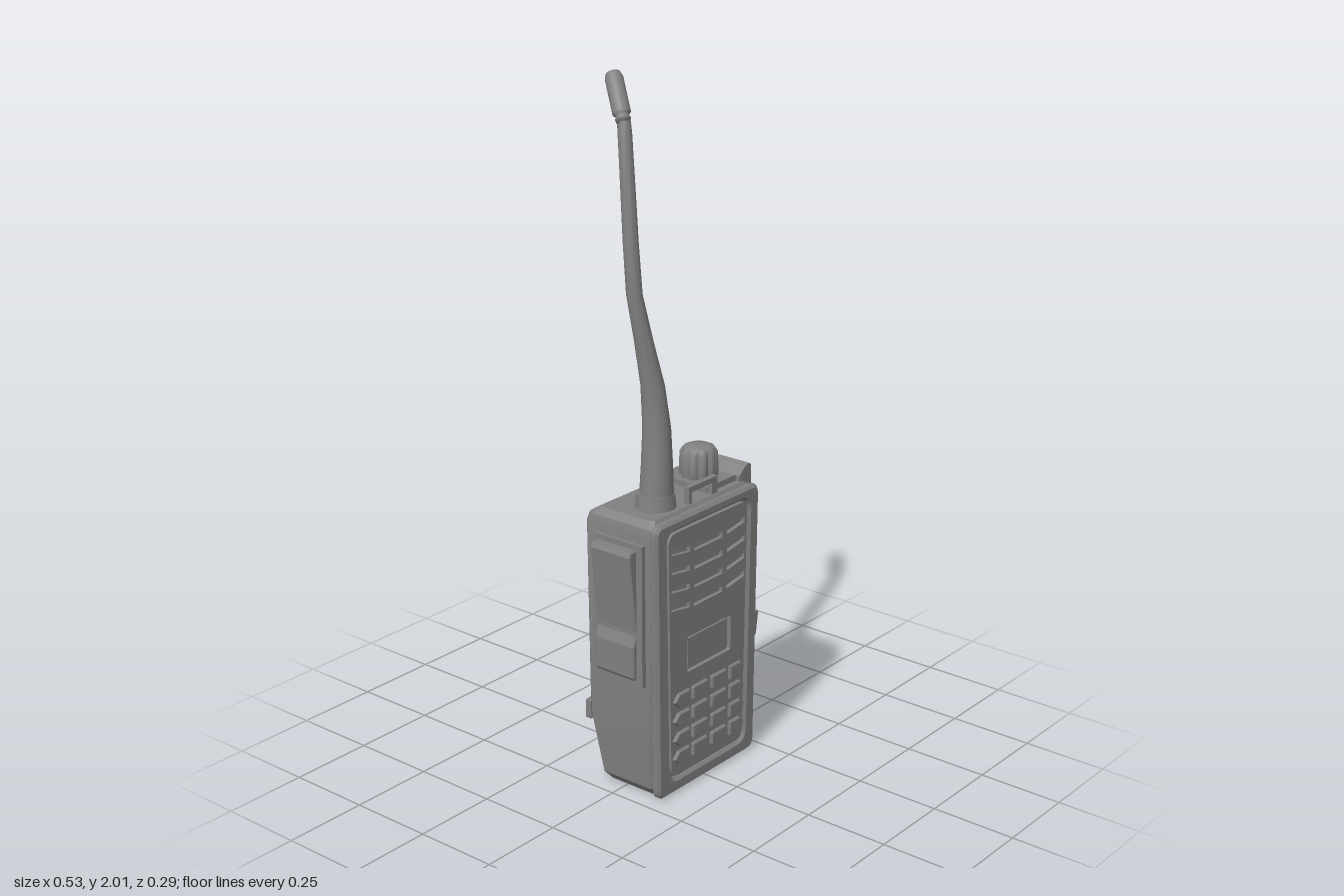
import * as THREE from 'three';
import { toCreasedNormals } from 'three/addons/utils/BufferGeometryUtils.js';

// Closed skin through rings of points ordered from +x towards +z, bottom to top
function loft(rings, crease = 0.6) {
  const n = rings[0].length, pos = [], idx = [];
  rings.forEach(r => r.forEach(p => pos.push(p.x, p.y, p.z)));
  for (let i = 0; i < rings.length - 1; i++) for (let j = 0; j < n; j++) {
    const a = i * n + j, b = i * n + (j + 1) % n;
    idx.push(a, a + n, b, b, a + n, b + n);
  }
  [0, rings.length - 1].forEach(i => {
    const c = new THREE.Vector3();
    rings[i].forEach(p => c.addScaledVector(p, 1 / n));
    const k = pos.length / 3;
    pos.push(c.x, c.y, c.z);
    for (let j = 0; j < n; j++) {
      const a = i * n + j, b = i * n + (j + 1) % n;
      if (i === 0) idx.push(k, a, b); else idx.push(k, b, a);
    }
  });
  const g = new THREE.BufferGeometry();
  g.setAttribute('position', new THREE.Float32BufferAttribute(pos, 3));
  g.setIndex(idx);
  return toCreasedNormals(g, crease);
}

// Rectangle ring with cut corners
function rectRing([y, x0, x1, z0, z1, c]) {
  return [[x1, z0 + c], [x1, z1 - c], [x1 - c, z1], [x0 + c, z1],
    [x0, z1 - c], [x0, z0 + c], [x0 + c, z0], [x1 - c, z0]].map(([x, z]) => new THREE.Vector3(x, y, z));
}

function roundRect(x0, y0, x1, y1, r, T = THREE.Shape, taper = 0) {
  const s = new T(), t = taper;
  s.moveTo(x0 + t + r, y0); s.lineTo(x1 - t - r, y0);
  s.quadraticCurveTo(x1 - t, y0, x1 - t, y0 + r);
  s.lineTo(x1, y1 - r); s.quadraticCurveTo(x1, y1, x1 - r, y1);
  s.lineTo(x0 + r, y1); s.quadraticCurveTo(x0, y1, x0, y1 - r);
  s.lineTo(x0 + t, y0 + r); s.quadraticCurveTo(x0 + t, y0, x0 + t + r, y0);
  return s;
}

const poly = (pts, T = THREE.Shape) => new T(pts.map(p => new THREE.Vector2(...p)));

// Extruded plate from z0 to z0 + depth with a small bevel
function plate(shape, z0, depth, b = 0) {
  const g = new THREE.ExtrudeGeometry(shape, {
    depth: depth - 2 * b, bevelEnabled: b > 0, bevelSize: b, bevelOffset: -b,
    bevelThickness: b, bevelSegments: 1, curveSegments: 4,
  });
  return g.translate(0, 0, z0 + b);
}

// Plate drawn in (-z, y), extruded along +x
const sidePlate = (pts, x0, depth, b = 0) => plate(poly(pts), x0, depth, b).rotateY(Math.PI / 2);

function box(x0, x1, y0, y1, z0, z1) {
  return new THREE.BoxGeometry(x1 - x0, y1 - y0, z1 - z0).translate((x0 + x1) / 2, (y0 + y1) / 2, (z0 + z1) / 2);
}

export function createModel() {
  const model = new THREE.Group();
  model.name = 'handheldRadio';
  const grey = new THREE.MeshStandardMaterial({ color: 0x808080 });
  grey.name = 'grey plastic';
  const add = (name, geo) => {
    const m = new THREE.Mesh(geo, grey);
    m.name = name;
    model.add(m);
    return m;
  };

  // Case, tapering in at the lower back
  add('case', loft([
    [0.006, -0.19, 0.2, -0.07, 0.115, 0.02],
    [0.03, -0.208, 0.22, -0.086, 0.124, 0.02],
    [0.12, -0.215, 0.226, -0.102, 0.124, 0.02],
    [0.215, -0.22, 0.232, -0.113, 0.124, 0.012],
    [0.79, -0.223, 0.235, -0.117, 0.124, 0.012],
    [0.815, -0.217, 0.23, -0.11, 0.122, 0.012],
    [0.835, -0.2, 0.205, -0.08, 0.108, 0.01],
  ].map(rectRing), 0.3));

  // Front rim around the recessed face
  const rim = roundRect(-0.222, 0.003, 0.233, 0.828, 0.03, THREE.Shape, 0.01);
  rim.holes.push(roundRect(-0.172, 0.045, 0.187, 0.795, 0.035, THREE.Path, 0.012));
  add('frontRim', plate(rim, 0.11, 0.03, 0.008));

  // Face panel with speaker slots and a screen opening
  const face = roundRect(-0.166, 0.052, 0.181, 0.789, 0.03, THREE.Shape, 0.012);
  for (const y of [0.715, 0.66, 0.605, 0.55]) {
    for (const [xa, ya, xb, yb] of [[-0.155, 0.012, -0.075, 0], [-0.055, -0.003, 0.07, -0.003], [0.09, 0, 0.17, 0.012]]) {
      face.holes.push(poly([[xa, y + ya], [xb, y + yb], [xb, y + yb + 0.016], [xa, y + ya + 0.016]], THREE.Path));
    }
  }
  face.holes.push(roundRect(-0.085, 0.355, 0.11, 0.462, 0.008, THREE.Path));
  add('facePanel', plate(face, 0.115, 0.021));
  add('screen', box(-0.075, 0.1, 0.364, 0.453, 0.115, 0.13));

  // Keypad, outer keys pointing outwards
  for (const y of [0.285, 0.225, 0.165, 0.108]) {
    [-0.115, -0.033, 0.052, 0.135].forEach((x, i) => {
      const h = 0.021, w = 0.034, d = i === 0 ? -1 : 1;
      const key = i === 0 || i === 3
        ? poly([[x - d * w, y - h], [x + d * w * 0.4, y - h], [x + d * w, y], [x + d * w * 0.4, y + h], [x - d * w, y + h]])
        : roundRect(x - w, y - h, x + w, y + h, 0.006);
      add('key', plate(key, 0.13, 0.015, 0.004));
    });
  }

  // Antenna collar and bent, tapering whip
  add('antennaCollar', new THREE.CylinderGeometry(0.052, 0.058, 0.05, 28).translate(-0.105, 0.85, 0.04));
  const ring = (x, y, z, r, tilt = 0) => Array.from({ length: 20 }, (_, j) => {
    const a = j / 20 * Math.PI * 2;
    return new THREE.Vector3(Math.cos(a) * r, 0, Math.sin(a) * r)
      .applyAxisAngle(new THREE.Vector3(-0.8, 0, -0.6).normalize(), tilt).add(new THREE.Vector3(x, y, z));
  });
  add('antenna', loft([
    [-0.105, 0.86, 0.043, 0.048], [-0.103, 0.95, 0.043, 0.044], [-0.1, 1.06, 0.04, 0.039],
    [-0.108, 1.18, 0.033, 0.033], [-0.133, 1.31, 0.023, 0.026], [-0.156, 1.44, 0.011, 0.022],
    [-0.152, 1.58, -0.004, 0.021], [-0.142, 1.72, -0.021, 0.02], [-0.128, 1.86, -0.042, 0.019],
    [-0.123, 1.89, -0.05, 0.018],
  ].map(p => ring(...p)), 0.8));
  const from = new THREE.Vector3(-0.128, 1.882, -0.045), to = new THREE.Vector3(-0.077, 1.985, -0.122);
  const dir = to.clone().sub(from), len = dir.length();
  const tip = add('antennaTip', new THREE.LatheGeometry([
    [0, 0], [0.018, 0], [0.021, 0.012], [0.018, 0.018], [0.018, 0.024], [0.0245, 0.03],
    [0.0245, len - 0.003], [0.02, len + 0.01], [0.01, len + 0.015], [0, len + 0.016],
  ].map(p => new THREE.Vector2(...p)), 20));
  tip.position.copy(from);
  tip.quaternion.setFromUnitVectors(new THREE.Vector3(0, 1, 0), dir.normalize());

  // Knob platform and fluted knob
  add('knobPlatform', box(0.055, 0.23, 0.81, 0.852, -0.08, 0.09));
  const knobRing = ([y, r, flute]) => Array.from({ length: 80 }, (_, j) => {
    const a = j / 80 * Math.PI * 2;
    const k = r - flute * Math.pow(0.5 + 0.5 * Math.cos(a * 10), 2);
    return new THREE.Vector3(0.126 + k * Math.cos(a), y, 0.005 + k * Math.sin(a));
  });
  add('knob', loft([[0.85, 0.054, 0.008], [0.865, 0.056, 0.008], [0.92, 0.054, 0.008],
    [0.934, 0.046, 0.003], [0.941, 0.03, 0]].map(knobRing), 0.7));

  // Small guard bar on top
  add('guardBar', box(-0.042, 0.085, 0.868, 0.884, 0.089, 0.105));
  add('guardPost', box(-0.042, -0.028, 0.82, 0.87, 0.089, 0.105));
  add('guardPost', box(0.06, 0.085, 0.82, 0.87, 0.089, 0.105));

  // Left side: shoulder, rails and cover
  add('shoulder', plate(poly([[0.185, 0.81], [0.238, 0.8], [0.238, 0.872], [0.228, 0.88], [0.21, 0.874], [0.185, 0.852]]), -0.077, 0.182));
  add('sideRail', box(0.2, 0.243, 0.42, 0.815, 0.09, 0.115));
  add('sideRail', box(0.2, 0.243, 0.42, 0.815, -0.113, -0.078));
  add('sideCover', plate(poly([[0.2, 0.4], [0.262, 0.4], [0.262, 0.725], [0.25, 0.745], [0.238, 0.82], [0.2, 0.82]]), -0.077, 0.167));

  // Lower wrap with a ragged edge, on the side and the back
  const wrap = sidePlate([[0.119, 0.215], [0.121, 0.42], [-0.122, 0.42], [-0.12, 0.35], [-0.108, 0.32],
    [-0.112, 0.29], [-0.094, 0.265], [-0.106, 0.235], [-0.102, 0.215]], 0.2, 0.045);
  const p = wrap.attributes.position;
  for (let i = 0; i < p.count; i++) {
    if (p.getX(i) > 0.22) p.setX(i, 0.238 + (p.getY(i) - 0.215) * 0.1);
  }
  wrap.computeVertexNormals();
  add('sideWrap', wrap);
  add('backWrap', plate(poly([[0.24, 0.215], [0.255, 0.42], [0.03, 0.44], [0.02, 0.405], [-0.03, 0.39],
    [-0.02, 0.35], [-0.06, 0.33], [-0.05, 0.29], [-0.085, 0.27], [-0.075, 0.235], [-0.03, 0.215]]), -0.122, 0.02));
  add('backWrapCorner', plate(poly([[-0.224, 0.19], [-0.1, 0.215], [-0.095, 0.255], [-0.224, 0.245]]), -0.119, 0.02));

  // Grip ribs running down the back and under the base
  for (let i = 0; i < 5; i++) {
    add('gripRib', sidePlate([[0.117, 0.215], [0.112, 0.12], [0.096, 0.03], [0.075, 0], [-0.05, 0],
      [-0.05, 0.02], [0.06, 0.02], [0.09, 0.13], [0.1, 0.215]], -0.088 + i * 0.038, 0.02));
  }

  // Right side: button plate, rocking talk button and lower button
  add('buttonPlate', box(-0.236, -0.2, 0.35, 0.77, -0.075, 0.1));
  add('talkButton', plate(poly([[-0.22, 0.515], [-0.22, 0.755], [-0.258, 0.755], [-0.265, 0.74], [-0.24, 0.515]]), -0.06, 0.14, 0.004));
  add('lowerButton', plate(poly([[-0.22, 0.37], [-0.22, 0.5], [-0.24, 0.5], [-0.25, 0.47], [-0.25, 0.38], [-0.244, 0.37]]), -0.06, 0.14, 0.004));

  return model;
}
